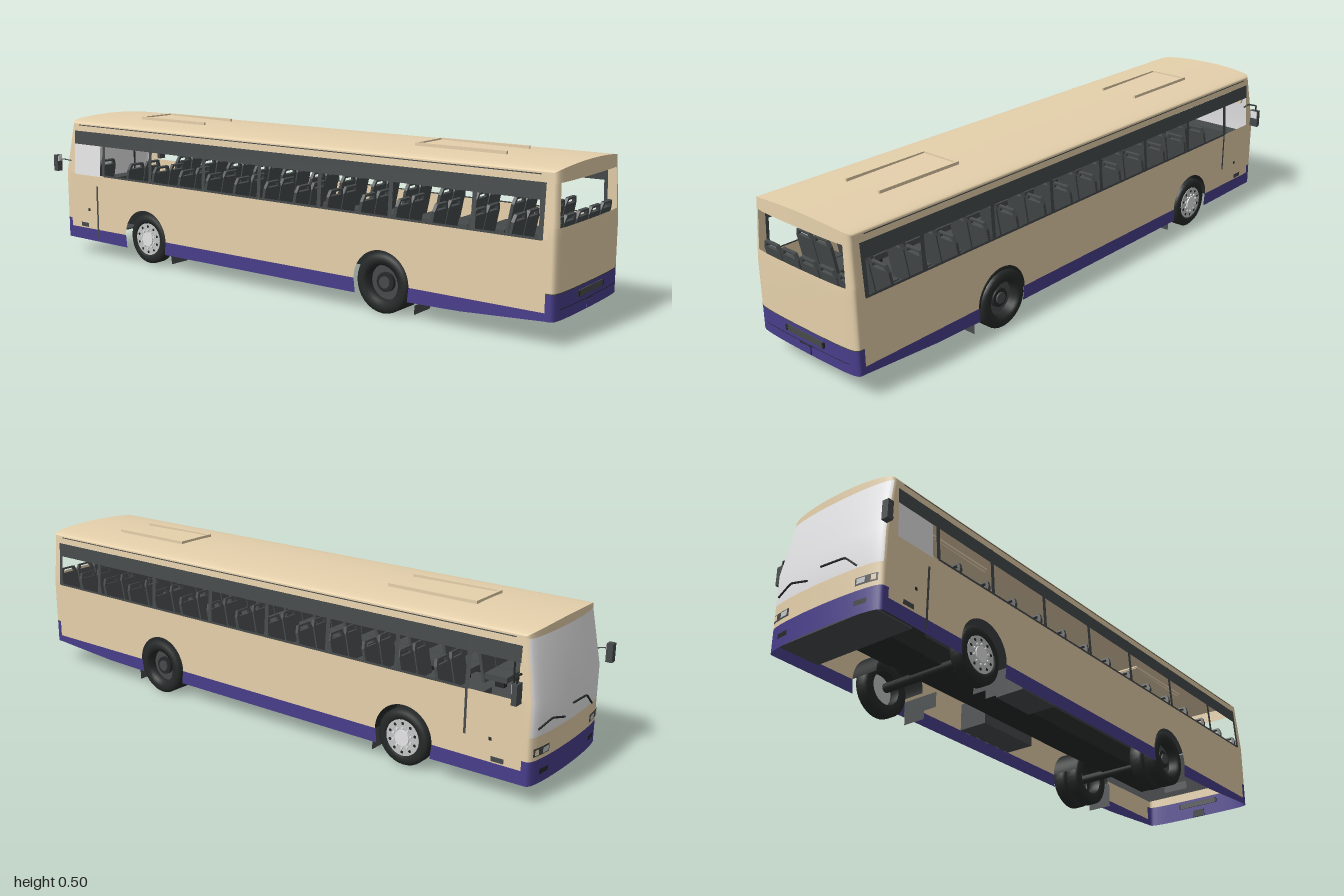
import * as THREE from 'three';

const mat = (name, color) =>
  new THREE.MeshStandardMaterial({ name, color, side: THREE.DoubleSide });
const M = {
  tan: mat('tan paint', 0xe5d0ab), blue: mat('blue paint', 0x483d8b),
  dark: mat('dark grey', 0x464a4b), black: mat('black rubber', 0x262929),
  glass: mat('light grey glass', 0xeaeaec), metal: mat('wheel metal', 0xc4c6c6),
  grey: mat('underbody grey', 0x8c8f90),
};
const CX = -0.006, TOP = 0.475;
// Body outline rules: half width and end positions depend on height
const lean = y => Math.max(0, Math.min(y, TOP) - 0.3);
const halfW = y => 0.211 - 0.07 * lean(y);
const endZ = (end, t, y) => {
  const s = Math.min(1, Math.abs(t));
  const drop = 0.03 * (1 - Math.pow(1 - s ** 6, 1 / 6)) + (end < 0 ? 0.012 : 0.004) * s * s;
  return end < 0 ? -0.984 + 0.17 * lean(y) + drop : 0.993 - 0.04 * lean(y) - drop;
};
const roofY = t => TOP + 0.012 * Math.pow(Math.max(0, 1 - t ** 8), 0.25) + 0.011 * (1 - t * t);
const HALF_T = [0.15, 0.3, 0.45, 0.6, 0.75, 0.85, 0.9, 0.94, 0.965, 0.985, 0.995, 0.999, 1];
const ALL_T = [...HALF_T.map(t => -t).reverse(), 0, ...HALF_T];
const columns = (a, b) => [a, ...ALL_T.filter(t => t > a && t < b), b];
const v2 = a => a.map(p => new THREE.Vector2(...p));

export function createModel() {
  const bus = new THREE.Group();
  bus.name = 'bus';
  const add = (name, geo, m, x = 0, y = 0, z = 0, parent = bus) => {
    const mesh = new THREE.Mesh(geo, m);
    mesh.name = name;
    mesh.position.set(x, y, z);
    parent.add(mesh);
    return mesh;
  };
  const box = (name, m, w, h, d, x, y, z, parent) =>
    add(name, new THREE.BoxGeometry(w, h, d), m, x, y, z, parent);
  const rod = (name, m, r, pts) => add(name, new THREE.TubeGeometry(
    new THREE.CatmullRomCurve3(pts.map(p => new THREE.Vector3(...p)), false, 'catmullrom', 0.1), 16, r, 6), m);

  // Surface through a grid of points
  const grid = (name, m, us, vs, fn) => {
    const pos = [], idx = [], n = us.length;
    vs.forEach(v => us.forEach(u => pos.push(...fn(u, v))));
    for (let j = 0; j < vs.length - 1; j++) for (let i = 0; i < n - 1; i++) {
      const a = j * n + i;
      idx.push(a, a + 1, a + n, a + 1, a + n + 1, a + n);
    }
    const g = new THREE.BufferGeometry();
    g.setAttribute('position', new THREE.Float32BufferAttribute(pos, 3));
    g.setIndex(idx);
    g.computeVertexNormals();
    add(name, g, m);
  };
  // Panel of the front (-1) or rear (+1) end, with rounded corners
  const cap = (name, m, end, y0, y1, t0 = -1, t1 = 1, off = 0) => {
    const rows = y0 < 0.3 && y1 > 0.3 ? [y0, 0.3, y1] : [y0, y1];
    grid(name, m, columns(t0, t1), end < 0 ? rows.reverse() : rows, (t, v) => {
      const y = v > TOP ? roofY(t) : v;
      return [CX + halfW(y) * t, y, endZ(end, t, y) + end * off];
    });
  };
  // Side panel from a (z, y) shape, bent onto the wall
  const sidePanel = (name, m, side, shape, off = 0) => {
    const g = new THREE.ShapeGeometry(Array.isArray(shape) ? new THREE.Shape(v2(shape)) : shape, 24);
    const p = g.attributes.position;
    for (let i = 0; i < p.count; i++) {
      const z = p.getX(i), y = p.getY(i);
      p.setXYZ(i, CX + side * (halfW(y) + off), y, z);
    }
    g.computeVertexNormals();
    add(name, g, m);
  };
  const rect = (z0, z1, y0, y1) => [[z0, y0], [z1, y0], [z1, y1], [z0, y1]];
  const F = y => endZ(-1, 1, y), R = y => endZ(1, 1, y);
  const WHEELS = [-0.56, 0.43], ARCH = 0.098;

  // Roof and hatches that sink into it towards the rear
  grid('roof', M.tan, ALL_T, [1, 0], (t, v) => [CX + halfW(TOP) * t, roofY(t),
    THREE.MathUtils.lerp(endZ(-1, t, TOP), endZ(1, t, TOP), v)]);
  [-0.7, 0.46].forEach(z => {
    box('roofHatch', M.tan, 0.13, 0.012, 0.3, CX - 0.002, 0.493, z + 0.15).rotation.x = 0.015;
    box('hatchRidge', M.tan, 0.146, 0.014, 0.008, CX - 0.002, 0.499, z);
    [-1, 1].forEach(s => box('hatchRidge', M.tan, 0.008, 0.016, 0.3, CX - 0.002 + s * 0.069, 0.498, z + 0.15));
  });

  // Side walls with wheel arches, skirts and open windows
  const posts = [0.94, 0.735, 0.46, 0.2, -0.04, -0.28, -0.53, -0.765];
  [-1, 1].forEach(s => {
    const wall = new THREE.Shape();
    wall.moveTo(F(0.1), 0.1);
    WHEELS.forEach(z => {
      wall.lineTo(z - ARCH, 0.1);
      wall.absarc(z, 0.1, ARCH, Math.PI, 0, true);
    });
    wall.lineTo(R(0.1), 0.1).lineTo(R(0.3), 0.3).lineTo(F(0.3), 0.3);
    sidePanel('sideWall', M.tan, s, wall);
    const [f, r] = WHEELS;
    sidePanel('frontSkirt', M.blue, s, [[F(0.06), 0.058], [f - 0.093, 0.055], [f - ARCH, 0.1], [F(0.1), 0.1]]);
    sidePanel('middleSkirt', M.blue, s, [[f + 0.093, 0.055], [r - 0.093, 0.055], [r - ARCH, 0.1], [f + ARCH, 0.1]]);
    sidePanel('rearSkirt', M.blue, s,
      [[r + 0.093, 0.056], [0.7, 0.06], [R(0.1), 0.077], [R(0.1), 0.1], [r + ARCH, 0.1]]);
    sidePanel('roofRail', M.tan, s, [[F(0.452), 0.452], [R(0.452), 0.452], [R(TOP), TOP], [F(TOP), TOP]]);
    sidePanel('frontPost', M.tan, s, [[F(0.3), 0.3], [-0.92, 0.3], [-0.92, 0.452], [F(0.452), 0.452]]);
    sidePanel('rearPost', M.tan, s, [[0.945, 0.3], [R(0.3), 0.3], [R(0.452), 0.452], [0.945, 0.452]]);
    sidePanel('windowHeader', M.dark, s, rect(-0.92, 0.945, 0.405, 0.452), 0.001);
    sidePanel('windowSill', M.dark, s, rect(-0.765, 0.945, 0.297, 0.304), 0.001);
    sidePanel('rainGutter', M.dark, s, rect(-0.9, 0.93, 0.472, 0.475), 0.002);
    posts.forEach(z => sidePanel('windowPost', M.dark, s, rect(z - 0.007, z + 0.007, 0.3, 0.452), 0.002));
    sidePanel('doorHandle', M.black, s, rect(-0.85, -0.84, 0.165, 0.175), 0.002);
    sidePanel('sideVent', M.dark, s, rect(-0.89, -0.85, 0.105, 0.12), 0.002);
  });
  sidePanel('doorSeam', M.dark, 1, rect(-0.768, -0.76, 0.165, 0.3), 0.002);
  sidePanel('doorSeam', M.dark, -1, rect(-0.804, -0.796, 0.07, 0.26), 0.002);
  sidePanel('driverWindow', M.glass, -1, rect(-0.92, -0.785, 0.295, 0.405), 0.0005);

  // Front end
  cap('frontBumper', M.blue, -1, 0.058, 0.13);
  cap('frontPanel', M.tan, -1, 0.13, 0.2);
  cap('windshield', M.glass, -1, 0.2, 0.472, -0.985, 0.985);
  cap('frontCornerPost', M.tan, -1, 0.2, 0.472, -1, -0.985);
  cap('frontCornerPost', M.tan, -1, 0.2, 0.472, 0.985, 1);
  cap('frontBrow', M.tan, -1, 0.472, 0.5);
  [-1, 1].forEach(s => {
    const span = (a, b) => s > 0 ? [a, b] : [-b, -a];
    cap('headlightFrame', M.dark, -1, 0.143, 0.167, ...span(0.6, 0.94), 0.002);
    cap('headlight', M.metal, -1, 0.147, 0.163, ...span(0.63, 0.76), 0.004);
    cap('turnLamp', M.tan, -1, 0.147, 0.163, ...span(0.85, 0.92), 0.004);
    cap('fogLamp', M.black, -1, 0.085, 0.1, ...span(0.6, 0.8), 0.002);
  });
  rod('wiper', M.black, 0.003, [[0.18, 0.222, -0.974], [0.12, 0.24, -0.985], [0.05, 0.222, -0.988]]);
  rod('wiper', M.black, 0.003, [[0, 0.248, -0.988], [-0.09, 0.243, -0.986], [-0.135, 0.205, -0.984]]);

  // Rear end
  cap('rearBumper', M.blue, 1, 0.077, 0.152);
  cap('rearPanel', M.tan, 1, 0.152, 0.332);
  cap('rearCornerPost', M.tan, 1, 0.332, 0.452, -1, -0.91);
  cap('rearCornerPost', M.tan, 1, 0.332, 0.452, 0.88, 1);
  cap('rearBrow', M.tan, 1, 0.452, 0.5);
  cap('bumperSeam', M.dark, 1, 0.152, 0.155, -1, 1, 0.001);
  cap('bumperSeam', M.black, 1, 0.107, 0.109, -0.85, 0.85, 0.001);
  box('plateHolder', M.dark, 0.155, 0.02, 0.006, CX + 0.002, 0.131, 0.993);
  [-1, 1].forEach(s => box('plateLamp', M.black, 0.007, 0.017, 0.009, CX + 0.002 + s * 0.079, 0.131, 0.993));
  box('towCoverEdge', M.black, 0.048, 0.026, 0.004, CX, 0.092, 0.992);
  box('towCover', M.blue, 0.044, 0.022, 0.006, CX, 0.091, 0.993);

  // Mirrors, with the glass in the upper part
  box('rightMirror', M.dark, 0.03, 0.06, 0.016, 0.233, 0.33, -0.93);
  box('rightMirrorGlass', M.glass, 0.026, 0.026, 0.003, 0.233, 0.345, -0.921);
  rod('rightMirrorArm', M.black, 0.003, [[0.19, 0.365, -0.92], [0.205, 0.378, -0.925], [0.235, 0.378, -0.93], [0.235, 0.355, -0.93]]);
  box('leftMirror', M.dark, 0.022, 0.058, 0.02, -0.238, 0.332, -0.985);
  box('leftMirrorGlass', M.glass, 0.018, 0.02, 0.003, -0.238, 0.35, -0.974);
  rod('leftMirrorArm', M.black, 0.002, [[-0.21, 0.34, -0.935], [-0.225, 0.345, -0.96], [-0.236, 0.345, -0.98]]);

  // Cabin: floor, header, dashboard and seats
  box('cabinFloor', M.dark, 0.416, 0.006, 1.88, CX, 0.203, 0.015);
  box('cabHeader', M.dark, 0.37, 0.036, 0.01, CX, 0.435, -0.93);
  box('destinationBox', M.tan, 0.3, 0.04, 0.01, CX + 0.028, 0.396, -0.93);
  box('dashboard', M.dark, 0.36, 0.05, 0.06, CX, 0.235, -0.925);
  add('grabPole', new THREE.CylinderGeometry(0.003, 0.003, 0.25, 8), M.black, -0.06, 0.33, -0.77);
  const back = new THREE.Shape(v2([[-0.037, 0], [0.037, 0], [0.037, 0.115], [0.028, 0.136], [-0.028, 0.136], [-0.037, 0.115]]));
  back.holes.push(new THREE.Path(v2([[-0.026, 0.117], [-0.021, 0.13], [0.021, 0.13], [0.026, 0.117]])));
  const backGeo = new THREE.ExtrudeGeometry(back, { depth: 0.01, bevelEnabled: false });
  const seat = (x, z) => {
    const g = new THREE.Group();
    g.name = 'seat';
    g.position.set(x, 0.22, z);
    add('seatBack', backGeo, M.dark, 0, 0, 0, g).rotation.x = 0.2;
    box('seatCushion', M.dark, 0.074, 0.018, 0.075, 0, 0.022, -0.035, g);
    box('seatLeg', M.black, 0.02, 0.03, 0.03, 0, 0, -0.035, g);
    bus.add(g);
  };
  for (let i = 0; i < 13; i++)
    [-0.165, -0.087, 0.075, 0.155].forEach(x => seat(x, 0.82 - i * 0.125));
  [-0.165, -0.087, -0.005, 0.075, 0.155].forEach(x => seat(x, 0.93));
  seat(-0.165, -0.83);

  // Wheels: single at the front, twin at the rear
  const tyreGeo = new THREE.LatheGeometry(v2([[0.056, -0.022], [0.07, -0.026], [0.084, -0.025], [0.093, -0.017],
    [0.093, 0.017], [0.084, 0.025], [0.07, 0.026], [0.056, 0.022], [0.054, 0], [0.056, -0.022]]), 32);
  const disc = (name, m, r, h, y, parent) => add(name, new THREE.CylinderGeometry(r, r, h, 24), m, 0, y, 0, parent);
  WHEELS.forEach((z, rear) => {
    [-1, 1].forEach(s => {
      const w = new THREE.Group();
      w.name = rear ? 'rearWheel' : 'frontWheel';
      w.position.set(0.002 + s * (rear ? 0.188 : 0.182), 0.096, z);
      w.rotation.z = -s * Math.PI / 2;
      add('tyre', tyreGeo, M.black, 0, 0, 0, w);
      if (rear) {
        add('innerTyre', tyreGeo, M.black, 0, -0.054, 0, w);
        disc('rim', M.dark, 0.055, 0.01, -0.01, w);
        disc('hub', M.black, 0.03, 0.02, -0.003, w);
        disc('hubCap', M.dark, 0.018, 0.02, 0.002, w);
      } else {
        w.scale.setScalar(0.94);
        disc('rim', M.metal, 0.06, 0.012, 0.019, w);
        disc('hub', M.glass, 0.026, 0.012, 0.024, w);
        for (let i = 0; i < 10; i++) {
          const a = i * Math.PI / 5, c = Math.cos(a), d = Math.sin(a);
          const nut = new THREE.CylinderGeometry(0.004, 0.004, 0.008, 6);
          add('wheelNut', nut, M.glass, c * 0.033, 0.026, d * 0.033, w);
          add('rimHole', new THREE.CylinderGeometry(0.005, 0.005, 0.002, 8), M.black, c * 0.048, 0.0248, d * 0.048, w);
        }
      }
      bus.add(w);
    });
    add('axle', new THREE.CylinderGeometry(0.015, 0.015, 0.33, 12), M.black, 0, 0.096, z).rotation.z = Math.PI / 2;
    // Dark arch lining on the door side
    const lining = new THREE.CylinderGeometry(ARCH, ARCH, 0.1, 32, 1, true, Math.PI / 2, Math.PI);
    add('wheelArchLining', lining.rotateZ(-Math.PI / 2).rotateX(Math.PI / 2), M.black, 0.157, 0.1, z);
  });
  add('wheelArchLip', new THREE.RingGeometry(0.085, 0.1, 32, 1, 0, Math.PI).rotateY(Math.PI / 2),
    M.black, 0.206, 0.1, WHEELS[1]);

  // Underbody
  box('chassisBeam', M.black, 0.12, 0.06, 1.35, CX, 0.13, 0);
  box('engineBlock', M.black, 0.13, 0.1, 0.2, CX, 0.15, -0.75);
  box('fuelTank', M.dark, 0.1, 0.09, 0.24, 0.115, 0.12, -0.1);
  box('batteryBox', M.dark, 0.1, 0.08, 0.16, -0.12, 0.125, -0.25);
  box('frontUndertray', M.dark, 0.36, 0.005, 0.14, CX, 0.075, -0.89);
  box('rearUndertray', M.grey, 0.38, 0.005, 0.36, CX, 0.165, 0.76);

  // Mudflaps
  const flap = (name, w, h, x, y, z) => add(name, new THREE.PlaneGeometry(w, h), M.dark, x, y, z);
  flap('rearMudflap', 0.09, 0.085, 0.156, 0.064, 0.545);
  flap('rearMudflap', 0.088, 0.028, -0.166, 0.034, 0.545);
  [-1, 1].forEach(s => {
    flap('frontMudflap', 0.13, 0.05, CX + s * 0.138, 0.075, -0.445);
    flap('frontFlapTail', 0.08, 0.03, CX + s * 0.16, 0.038, -0.445);
  });
  return bus;
}
